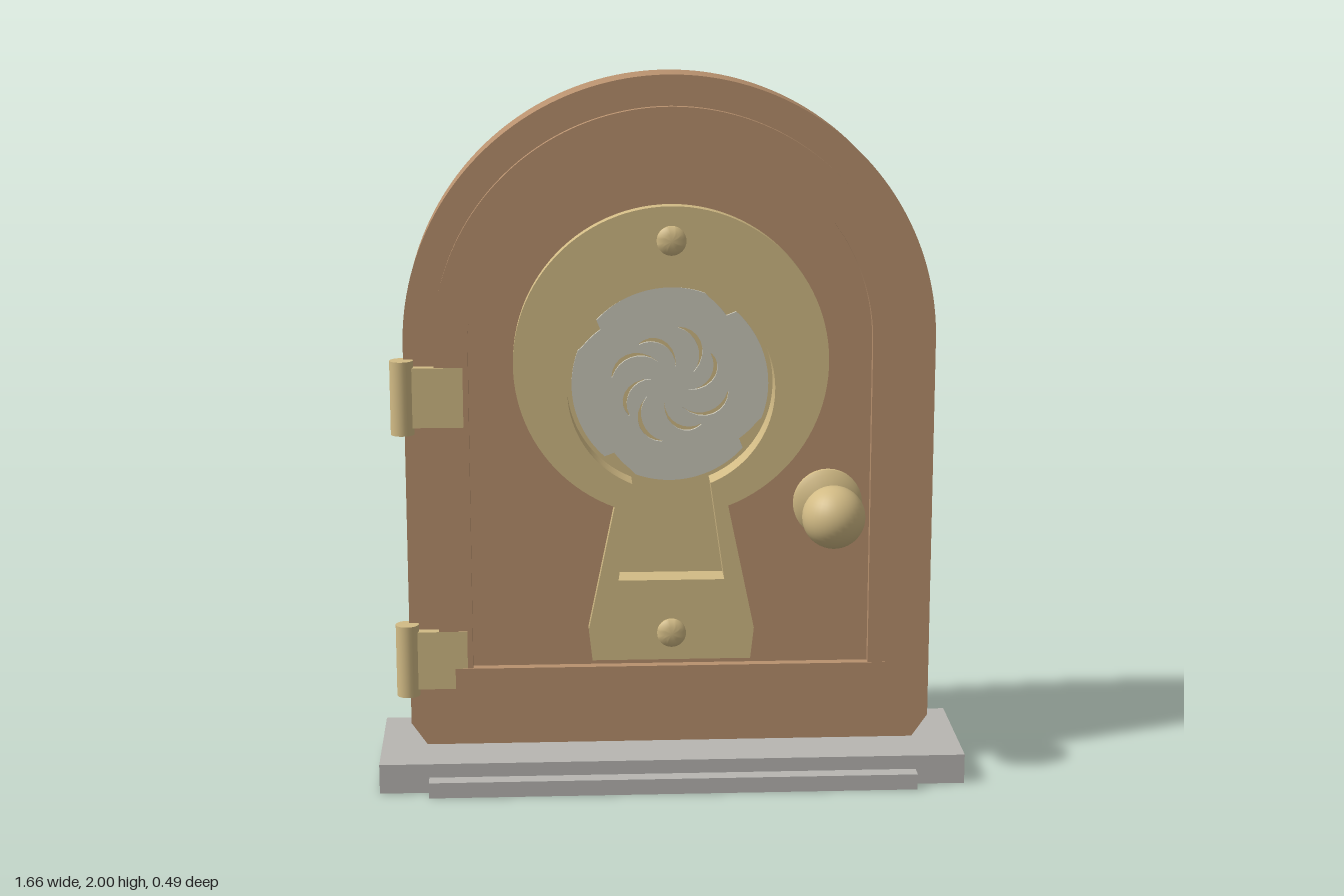
import * as THREE from 'three';
import { toCreasedNormals } from 'three/addons/utils/BufferGeometryUtils.js';

const material = (name, color) => Object.assign(new THREE.MeshStandardMaterial({ color }), { name });

export function createModel() {
  const wood = material('wood', 0xb8916e);
  const brass = material('brass', 0xd2bb85);
  const stone = material('stone', 0xb8b6b2);
  const steel = material('steel', 0xcac8ba);
  const group = new THREE.Group();

  const add = (name, geometry, mat, x = 0, y = 0, z = 0) => {
    const mesh = new THREE.Mesh(geometry, mat);
    mesh.name = name;
    mesh.position.set(x, y, z);
    group.add(mesh);
    return mesh;
  };
  const box = (name, mat, x0, x1, y0, y1, z0, z1) =>
    add(name, new THREE.BoxGeometry(x1 - x0, y1 - y0, z1 - z0), mat,
      (x0 + x1) / 2, (y0 + y1) / 2, (z0 + z1) / 2);
  const slab = (name, shape, mat, z0, z1) => {
    const g = new THREE.ExtrudeGeometry(shape, { depth: z1 - z0, bevelEnabled: false, curveSegments: 48 });
    return add(name, toCreasedNormals(g, 0.5), mat, 0, 0, z0);
  };

  // Round-topped outline with optional cut lower corners
  const arch = (w, bottom, cutX = 0, cutY = 0) => {
    const s = new THREE.Shape();
    s.moveTo(-w + cutX, bottom);
    s.lineTo(w - cutX, bottom);
    if (cutY) s.lineTo(w, bottom + cutY);
    s.lineTo(w, 1.255);
    s.absarc(0, 1.255, w, 0, Math.PI, false);
    if (cutY) s.lineTo(-w, bottom + cutY);
    s.closePath();
    return s;
  };

  // Keyhole outline: a circle with a flared tail, tail points listed downward on +x
  const keyhole = (cy, r, neck, tail) => {
    const a = Math.acos(neck / r);
    const s = new THREE.Shape();
    s.absarc(0, cy, r, -a, Math.PI + a, false);
    tail.forEach(([x, y]) => s.lineTo(-x, y));
    [...tail].reverse().forEach(([x, y]) => s.lineTo(x, y));
    s.closePath();
    return s;
  };

  // Stone sill and front step
  box('sill', stone, -0.83, 0.83, 0, 0.085, -0.245, 0.155);
  box('sillStep', stone, -0.69, 0.69, 0, 0.045, 0.155, 0.2);

  // Door panel, pierced by the keyhole
  const panel = arch(0.745, 0.085, 0.045, 0.065);
  panel.holes.push(keyhole(1.13, 0.293, 0.113, [[0.153, 0.577]]));
  slab('doorPanel', panel, wood, -0.16, -0.01);

  // Raised border and bottom rail
  const border = arch(0.66, 0.175, 0.025, 0.08);
  border.holes.push(arch(0.565, 0.32));
  slab('raisedBorder', border, wood, -0.012, 0.015);
  box('bottomRail', wood, -0.615, 0.615, 0.24, 0.32, -0.183, 0.018);

  // Brass keyhole plate lining the front of the opening
  const plate = keyhole(1.205, 0.44, 0.16, [[0.235, 0.435], [0.225, 0.345]]);
  const opening = keyhole(1.13, 0.29, 0.11, [[0.15, 0.58]]);
  plate.holes.push(opening);
  slab('keyholePlate', plate, brass, -0.012, 0.035);
  const lining = keyhole(1.13, 0.293, 0.113, [[0.153, 0.577]]);
  lining.holes.push(opening);
  slab('keyholeLining', lining, brass, -0.1, -0.012);
  slab('keyholeBacking', keyhole(1.13, 0.293, 0.113, [[0.153, 0.577]]), brass, -0.1, -0.05);

  // Steel disc with four bites in its rim and swirling slots
  const rim = [];
  for (let i = 0; i < 120; i++) {
    const deg = i * 3;
    const t = (deg - 50 + 360) % 90;
    const r = t < 18 ? 0.25 + 0.022 * (t / 18) : 0.277;
    const a = THREE.MathUtils.degToRad(deg);
    rim.push(new THREE.Vector2(Math.cos(a) * r, 1.13 + Math.sin(a) * r));
  }
  const disc = new THREE.Shape(rim);
  for (let k = 0; k < 8; k++) {
    const outer = [], inner = [];
    for (let j = 0; j <= 8; j++) {
      const t = j / 8;
      const a = k * Math.PI / 4 + 0.65 - 0.95 * t;
      const r = (k % 2 ? 0.165 : 0.145) - 0.09 * t * t;
      const h = 0.0015 + 0.006 * Math.sin(Math.PI * t);
      outer.push(new THREE.Vector2(Math.cos(a) * (r + h), 1.13 + Math.sin(a) * (r + h)));
      inner.unshift(new THREE.Vector2(Math.cos(a) * (r - h), 1.13 + Math.sin(a) * (r - h)));
    }
    disc.holes.push(new THREE.Path([...outer, ...inner]));
  }
  slab('steelDisc', disc, steel, -0.05, -0.04);

  // Turned parts facing forward
  const turned = (name, profile, x, y, z) => {
    const g = new THREE.LatheGeometry(profile.map(p => new THREE.Vector2(...p)), 32);
    g.rotateX(Math.PI / 2);
    add(name, toCreasedNormals(g, 0.6), brass, x, y, z);
  };
  for (const y of [1.55, 0.425]) {
    turned('plateScrew', [[0.041, 0], [0.041, 0.008], [0.034, 0.015], [0.02, 0.02], [0, 0.022]], 0, y, 0.035);
  }
  turned('knobRosette', [[0.098, 0], [0.098, 0.015], [0.085, 0.024], [0.035, 0.042], [0, 0.042]], 0.445, 0.79, -0.012);
  turned('knobNeck', [[0.034, 0], [0.034, 0.1]], 0.445, 0.79, 0);
  add('knob', new THREE.SphereGeometry(0.088, 32, 24), brass, 0.445, 0.79, 0.155);

  // Hinges on the door's right edge
  for (const y of [0.345, 1.11]) {
    const pin = new THREE.CylinderGeometry(0.033, 0.033, 0.21, 24);
    add('hingePin', pin, brass, -0.75, y, 0);
    box('hingeLeaf', brass, -0.74, -0.58, y - 0.085, y + 0.085, -0.012, 0.0165);
  }
  return group;
}
